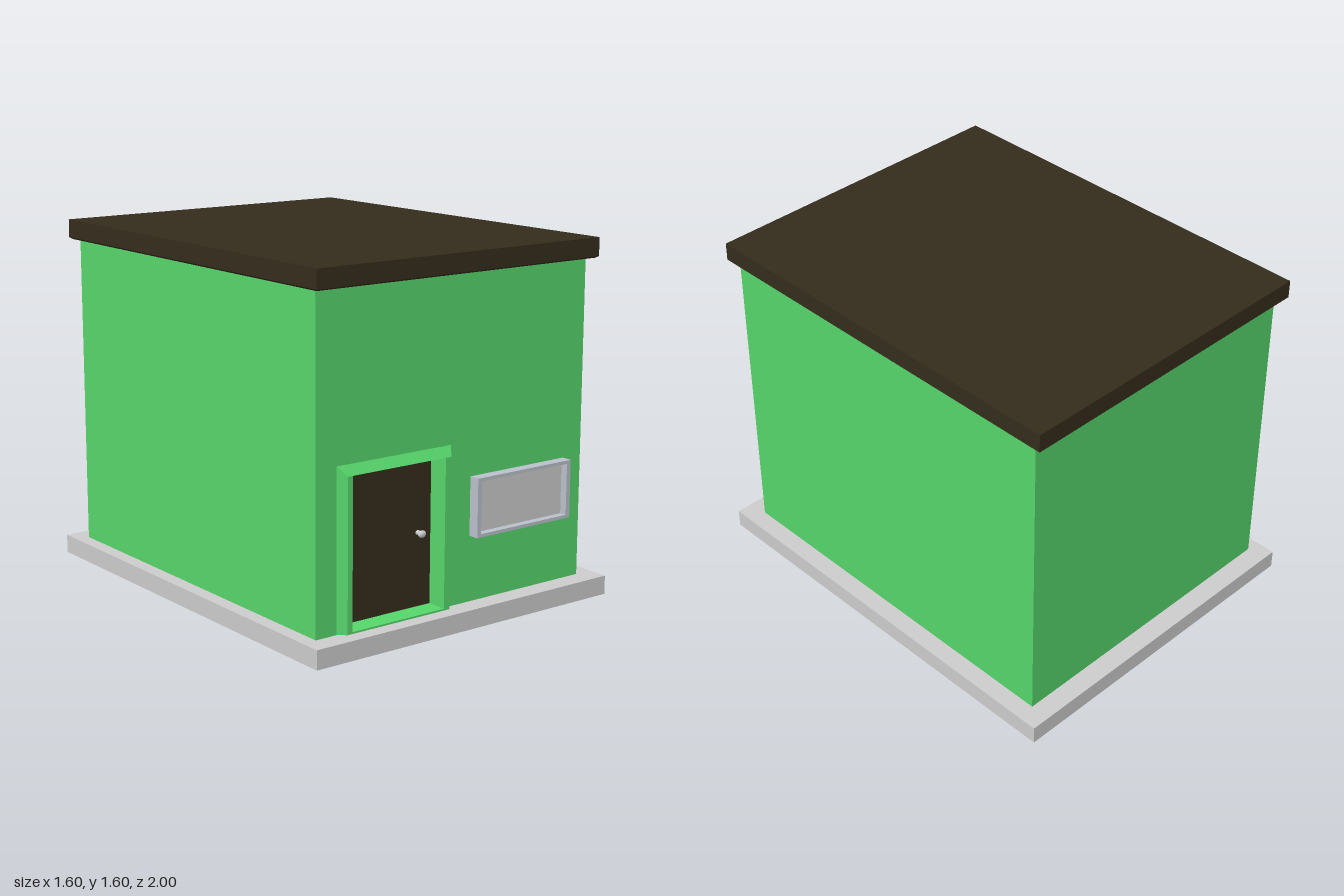
import * as THREE from 'three';

const mat = (color) => new THREE.MeshStandardMaterial({ color, side: THREE.DoubleSide });

// Flat-sided skin joining successive loops of four corners
function loft(loops) {
  const pos = [];
  for (let i = 0; i < loops.length - 1; i++) {
    const a = loops[i], b = loops[i + 1];
    for (let k = 0; k < 4; k++) {
      const n = (k + 1) % 4;
      pos.push(...a[k], ...a[n], ...b[n], ...a[k], ...b[n], ...b[k]);
    }
  }
  const g = new THREE.BufferGeometry();
  g.setAttribute('position', new THREE.Float32BufferAttribute(pos, 3));
  g.computeVertexNormals();
  return g;
}

// Horizontal rectangle, seen counter-clockwise from above
const flat = (x0, x1, z, y) => [[x0, y, z], [x1, y, z], [x1, y, -z], [x0, y, -z]];
// Upright rectangle, seen counter-clockwise from the front
const upright = (x0, x1, y0, y1, z) => [[x0, y0, z], [x1, y0, z], [x1, y1, z], [x0, y1, z]];

export function createModel() {
  const house = new THREE.Group();
  house.name = 'house';
  const green = mat(0x56d56b), brown = mat(0x342c1c), grey = mat(0xcccccc), frameGrey = mat(0xbac0ca);

  const add = (name, geometry, material, parent = house) => {
    const mesh = new THREE.Mesh(geometry, material);
    mesh.name = name;
    parent.add(mesh);
    return mesh;
  };

  const L = -0.735, R = 0.715, Z = 0.905, FLOOR = 0.085, TOP = 1.51;

  // Plinth: a skirt and a ledge, open underneath
  add('plinth', loft([flat(-0.8, 0.8, 1, 0), flat(-0.8, 0.8, 1, FLOOR), flat(L, R, Z, FLOOR)]), grey);

  // Front wall with the doorway notch
  const front = new THREE.Shape();
  [[L, FLOOR], [-0.6, FLOOR], [-0.6, 0.75], [-0.06, 0.75], [-0.06, FLOOR], [R, FLOOR], [R, TOP], [L, TOP]]
    .forEach(([x, y], i) => (i ? front.lineTo(x, y) : front.moveTo(x, y)));
  add('frontWall', new THREE.ShapeGeometry(front), green).position.z = Z;

  // Back and side walls
  const wallH = TOP - FLOOR, wallY = (TOP + FLOOR) / 2;
  const wall = (name, w, x, z, turn) => {
    const m = add(name, new THREE.PlaneGeometry(w, wallH), green);
    m.position.set(x, wallY, z);
    m.rotation.y = turn;
  };
  wall('backWall', R - L, (L + R) / 2, -Z, Math.PI);
  wall('leftWall', 2 * Z, R, 0, Math.PI / 2);
  wall('rightWall', 2 * Z, L, 0, -Math.PI / 2);

  // Flat roof: eaves, fascia and top
  add('roofEdge', loft([
    flat(L, R, Z, TOP),
    flat(-0.755, 0.735, 0.94, TOP),
    flat(-0.765, 0.745, 0.955, TOP + 0.008),
    flat(-0.765, 0.745, 0.955, 1.6),
  ]), brown);
  const roof = add('roofTop', new THREE.PlaneGeometry(1.51, 1.91), brown);
  roof.rotation.x = -Math.PI / 2;
  roof.position.set(-0.01, 1.6, 0);

  // Door with bevelled surround, set back into the wall
  const door = new THREE.Group();
  door.name = 'door';
  house.add(door);
  add('doorSurround', loft([
    upright(-0.63, -0.035, FLOOR, 0.79, Z),
    upright(-0.6, -0.06, 0.088, 0.75, 0.94),
    upright(-0.575, -0.09, 0.096, 0.75, 0.94),
    upright(-0.575, -0.09, 0.096, 0.75, 0.83),
    upright(-0.6, -0.06, FLOOR, 0.75, 0.83),
    upright(-0.6, -0.06, FLOOR, 0.75, Z),
  ]), green, door);
  add('doorPanel', new THREE.BoxGeometry(0.485, 0.654, 0.015), brown, door).position.set(-0.3325, 0.423, 0.838);

  // Handles on both faces
  for (const s of [1, -1]) {
    const stem = add('handleStem', new THREE.CylinderGeometry(0.008, 0.011, 0.03, 12), grey, door);
    stem.rotation.x = Math.PI / 2;
    stem.position.set(-0.16, 0.42, 0.838 + s * 0.02);
    const knob = add('handleKnob', new THREE.SphereGeometry(0.02, 16, 10), grey, door);
    knob.scale.set(1, 0.8, 0.6);
    knob.position.set(-0.16, 0.42, 0.838 + s * 0.038);
  }

  // Window: projecting frame around a recessed pane
  const win = new THREE.Group();
  win.name = 'window';
  house.add(win);
  add('windowFrame', loft([
    upright(0.098, 0.59, 0.392, 0.622, 0.898),
    upright(0.077, 0.612, 0.377, 0.637, 0.898),
    upright(0.077, 0.612, 0.377, 0.637, 0.955),
    upright(0.098, 0.59, 0.392, 0.622, 0.955),
    upright(0.098, 0.59, 0.392, 0.622, 0.898),
  ]), frameGrey, win);
  add('windowPane', new THREE.BoxGeometry(0.492, 0.23, 0.022), grey, win).position.set(0.344, 0.507, 0.91);

  return house;
}
